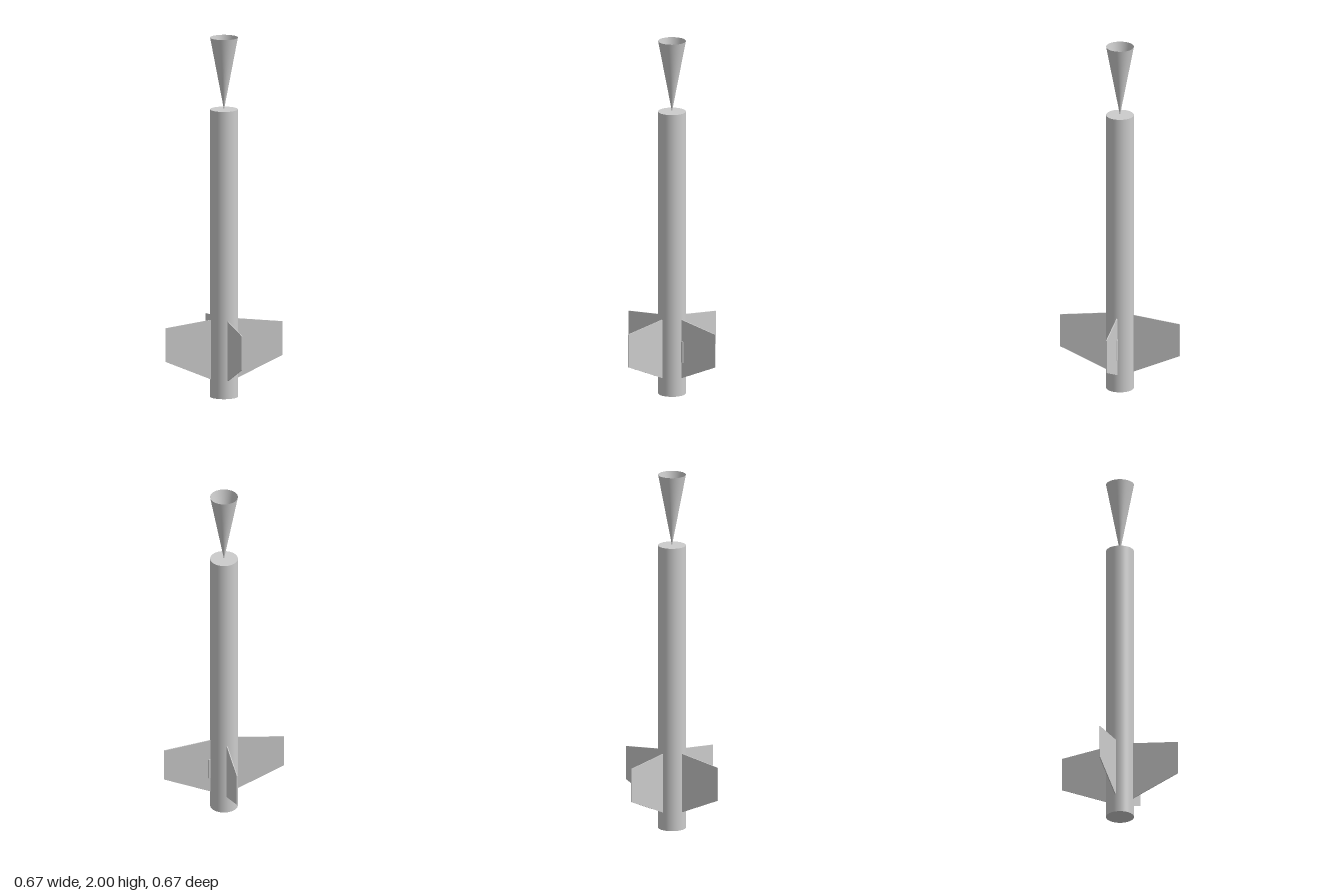
import * as THREE from 'three';

const RADIUS = 0.076;

export function createModel() {
  const group = new THREE.Group();
  group.name = 'rocket';
  const grey = new THREE.MeshStandardMaterial({ name: 'plain grey', color: 0xcccccc });
  const greyOpen = new THREE.MeshStandardMaterial({ name: 'plain grey open shell', color: 0xcccccc, side: THREE.DoubleSide });

  function add(name, geometry, material = grey) {
    const mesh = new THREE.Mesh(geometry, material);
    mesh.name = name;
    group.add(mesh);
    return mesh;
  }

  // Closed body tube
  add('bodyTube', new THREE.CylinderGeometry(RADIUS, RADIUS, 1.6, 64)).position.y = 0.8;

  // Hollow cone standing on its point, open at the top
  const cone = add('invertedCone', new THREE.CylinderGeometry(RADIUS, 0.0005, 0.4, 64, 1, true), greyOpen);
  cone.position.y = 1.8;

  // Four thin swept fins around the tail
  const thickness = 0.005;
  const outline = new THREE.Shape([
    [RADIUS - 0.001, 0.1], [0.335, 0.213], [0.335, 0.4], [RADIUS - 0.001, 0.432],
  ].map(([x, y]) => new THREE.Vector2(x, y)));
  const finGeometry = new THREE.ExtrudeGeometry(outline, { depth: thickness, bevelEnabled: false });
  finGeometry.translate(0, 0, -thickness / 2);
  for (let i = 0; i < 4; i++) {
    add('fin' + (i + 1), finGeometry).rotation.y = i * Math.PI / 2;
  }

  // Small launch lug on the left side
  add('launchLug', new THREE.CylinderGeometry(0.008, 0.008, 0.12, 24)).position.set(0.083, 0.25, 0);

  return group;
}
